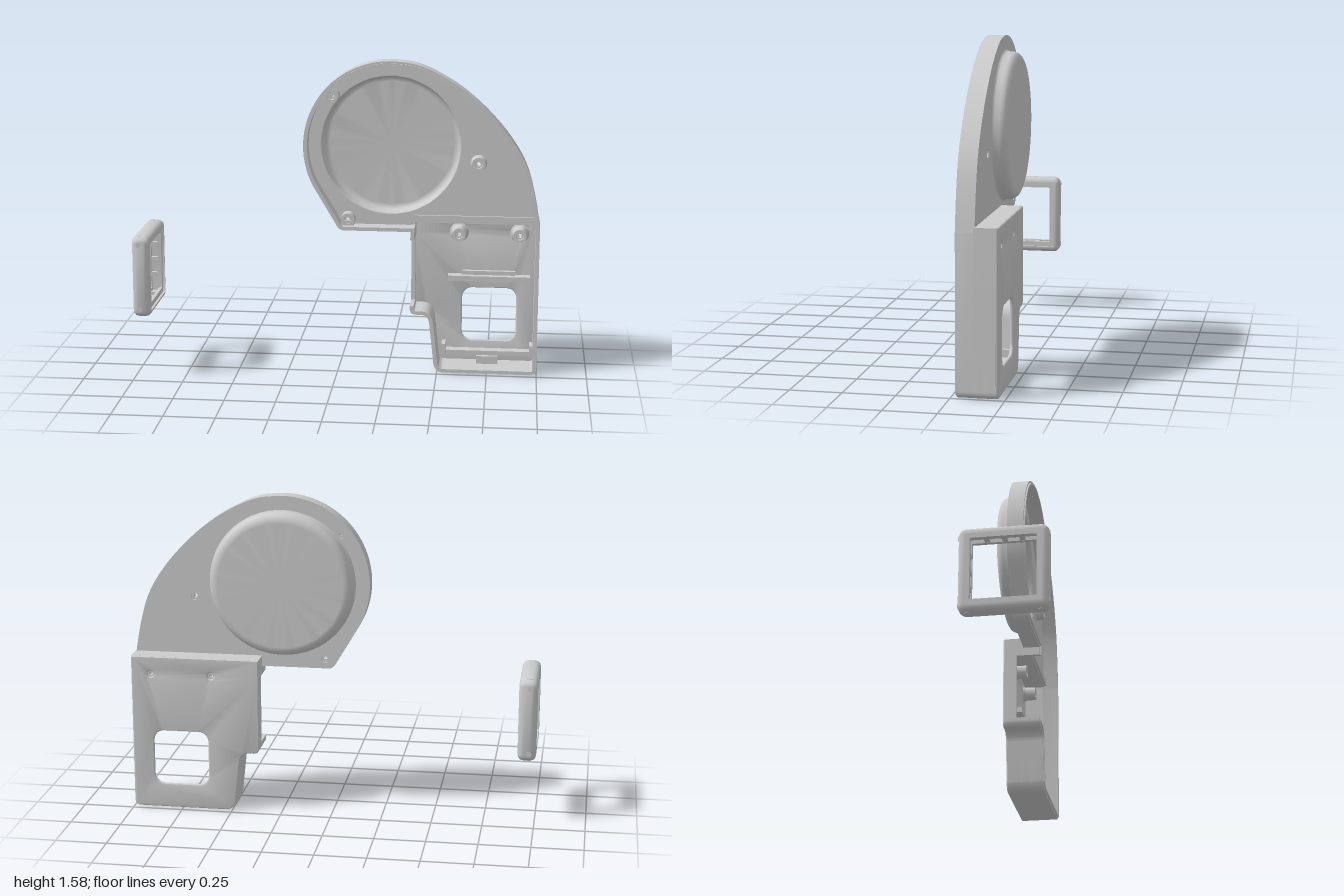
import * as THREE from 'three';
import { toCreasedNormals } from 'three/addons/utils/BufferGeometryUtils.js';

const grey = new THREE.MeshStandardMaterial({ color: 0xcccccc });
grey.name = 'light grey plastic';

function part(parent, name, geometry, crease = 0.4) {
  const mesh = new THREE.Mesh(toCreasedNormals(geometry, crease), grey);
  mesh.name = name;
  parent.add(mesh);
  return mesh;
}

// Box given by its limits on each axis
function block(parent, name, x0, x1, y0, y1, z0, z1) {
  const mesh = part(parent, name, new THREE.BoxGeometry(x1 - x0, y1 - y0, z1 - z0));
  mesh.position.set((x0 + x1) / 2, (y0 + y1) / 2, (z0 + z1) / 2);
  return mesh;
}

// Move a counter-clockwise outline inwards by d
function inset(pts, d, closed) {
  const n = pts.length;
  return pts.map((p, i) => {
    const a = closed ? pts[(i + n - 1) % n] : pts[Math.max(i - 1, 0)];
    const b = closed ? pts[(i + 1) % n] : pts[Math.min(i + 1, n - 1)];
    const u = p.clone().sub(a).normalize(), v = b.clone().sub(p).normalize();
    if (!u.length()) u.copy(v);
    if (!v.length()) v.copy(u);
    const m = new THREE.Vector2(-u.y - v.y, u.x + v.x).normalize();
    const cos = Math.max(0.5, m.x * -u.y + m.y * u.x);
    return p.clone().addScaledVector(m, d / cos);
  });
}

// Wall following an open outline, between two insets
const strip = (pts, a, b) => new THREE.Shape([...inset(pts, a), ...inset(pts, b).reverse()]);

function slab(shape, z0, z1, bevel = 0) {
  return new THREE.ExtrudeGeometry(shape, {
    depth: z1 - z0 - 2 * bevel, bevelEnabled: bevel > 0, bevelThickness: bevel,
    bevelSize: bevel, bevelOffset: -bevel, bevelSegments: 3, curveSegments: 36,
  }).translate(0, 0, z0 + bevel);
}

function roundedRect(cx, cy, hw, hh, r) {
  const pts = [];
  for (let c = 0; c < 4; c++) {
    const sx = c === 0 || c === 3 ? 1 : -1, sy = c < 2 ? 1 : -1;
    for (let k = 0; k <= 6; k++) {
      const a = (c + k / 6) * Math.PI / 2;
      pts.push(new THREE.Vector2(cx + sx * (hw - r) + r * Math.cos(a), cy + sy * (hh - r) + r * Math.sin(a)));
    }
  }
  return pts;
}

const circle = (x, y, r) => new THREE.Path().absarc(x, y, r, 0, Math.PI * 2, true);

// Solid turned around the z axis
function turned(profile, segments) {
  const pts = profile.map(([r, z]) => new THREE.Vector2(r, z));
  return new THREE.LatheGeometry(pts, segments).rotateX(Math.PI / 2);
}

// Shared lower outline, from the side cut-out down and round to the right edge
function lowerEdge() {
  return new THREE.Path().moveTo(0.36, 0.345).lineTo(0.36, 0.335)
    .quadraticCurveTo(0.36, 0.3, 0.39, 0.3).lineTo(0.415, 0.3)
    .quadraticCurveTo(0.455, 0.3, 0.46, 0.25).lineTo(0.482, 0.05)
    .quadraticCurveTo(0.49, 0, 0.535, 0).lineTo(0.965, 0)
    .quadraticCurveTo(1, 0, 1, 0.035);
}

// Upper outline: swept right edge, round top, slanted lower left
function upperEdge(path) {
  const v = (x, y) => new THREE.Vector2(x, y);
  return path.splineThru([v(0.97, 0.925), v(0.925, 1.075), v(0.845, 1.21), v(0.727, 1.345),
    v(0.594, 1.457), v(0.46, 1.535), v(0.36, 1.57), v(0.255, 1.58)])
    .absarc(0.255, 1.15, 0.43, Math.PI / 2, Math.PI * 1.155, false)
    .lineTo(-0.01, 0.755).quadraticCurveTo(0.003, 0.727, 0.03, 0.727).lineTo(0.36, 0.727);
}

function createHousing() {
  const g = new THREE.Group();
  g.name = 'housing';
  const upperScrews = [[-0.035, 1.4, 0.037], [0.045, 0.775, 0.037], [0.692, 1.07, 0.042]];
  const lowerScrews = [[0.598, 0.692, 0.05], [0.902, 0.692, 0.05]];

  // Rim around the whole outline, left open at the side cut-out
  const rim = upperEdge(lowerEdge().lineTo(1, 0.75)).lineTo(0.36, 0.685).getPoints(14);
  part(g, 'rim', slab(strip(rim, 0, 0.02), -0.107, -0.03));
  part(g, 'rimLip', slab(strip(rim, 0.01, 0.02), -0.03, -0.023));

  // Floor of the upper half
  const floor = new THREE.Shape(upperEdge(new THREE.Path().moveTo(1, 0.76)).lineTo(0.36, 0.76).getPoints(14));
  floor.holes.push(circle(0.255, 1.15, 0.35));
  upperScrews.forEach(([x, y]) => floor.holes.push(circle(x, y, 0.02)));
  part(g, 'upperFloor', slab(floor, -0.114, -0.099));

  // Round drum bulging out of the back
  part(g, 'drum', turned([[0, -0.184], [0.308, -0.184], [0.312, -0.184], [0.326, -0.181], [0.339, -0.174],
    [0.348, -0.163], [0.352, -0.148], [0.353, -0.125], [0.358, -0.116], [0.365, -0.112], [0.352, -0.109],
    [0.351, -0.099], [0.347, -0.1], [0.344, -0.104], [0.342, -0.11], [0.341, -0.145], [0.337, -0.157],
    [0.328, -0.166], [0.315, -0.17], [0.311, -0.17], [0, -0.17]], 72), 0.6).position.set(0.255, 1.15, 0);

  // Deep box of the lower half
  const box = lowerEdge().lineTo(1, 0.78).lineTo(0.36, 0.78).lineTo(0.36, 0.685).getPoints(14);
  const ring = new THREE.Shape(box);
  ring.holes.push(new THREE.Path(inset(box, 0.02, true)));
  part(g, 'boxWall', slab(ring, -0.21, -0.15));
  part(g, 'boxWallFront', slab(strip(box, 0, 0.02), -0.15, -0.107));
  const back = new THREE.Shape(box);
  back.holes.push(new THREE.Path(roundedRect(0.7545, 0.263, 0.137, 0.138, 0.05).reverse()));
  lowerScrews.forEach(([x, y]) => back.holes.push(circle(x, y, 0.016)));
  part(g, 'boxBack', slab(back, -0.22, -0.202, 0.009));

  // Hollow screw posts, flared at the foot
  const post = ([x, y, flare], z, h) => part(g, 'screwPost', turned([[0.01, z - 0.004], [flare, z - 0.004],
    [flare, z], [0.6 * 0.034 + 0.4 * flare, z + 0.006], [0.035, z + 0.02], [0.034, z + h], [0.02, z + h],
    [0.018, z + h - 0.01], [0.01, z + h - 0.01], [0.01, z - 0.004]], 28)).position.set(x, y, 0);
  upperScrews.forEach((s) => post(s, -0.1, 0.045));
  lowerScrews.forEach((s) => post(s, -0.203, 0.07));

  // Webs joining two posts to the rim
  const web = block(g, 'postWeb', -0.02, 0.02, -0.034, 0.034, -0.1, -0.058);
  web.position.x = -0.046;
  web.position.y = 1.41;
  web.rotation.z = 2.43;
  block(g, 'postWeb', 0.012, 0.075, 0.735, 0.772, -0.1, -0.058);

  // Ridge and retaining ribs inside the box
  block(g, 'ridge', 0.38, 0.985, 0.765, 0.8, -0.1, -0.088);
  block(g, 'shelf', 0.545, 0.958, 0.448, 0.475, -0.206, -0.15);
  block(g, 'shelfStep', 0.615, 0.884, 0.475, 0.495, -0.206, -0.18);
  block(g, 'lowerShelf', 0.518, 0.98, 0.06, 0.083, -0.206, -0.15);
  block(g, 'shelfPost', 0.518, 0.538, 0.06, 0.12, -0.206, -0.13);
  block(g, 'shelfPost', 0.962, 0.98, 0.06, 0.12, -0.206, -0.13);
  block(g, 'shelfBlock', 0.695, 0.805, 0.015, 0.06, -0.206, -0.13);
  return g;
}

function createFrame() {
  const g = new THREE.Group();
  g.name = 'squareFrame';
  const half = 0.205;

  // Channel section (inset, x) carried round a rounded square
  const section = [[0.034, -1], [0.03, -1], [0.014, -0.996], [0.004, -0.986], [0, -0.97], [0, -0.94],
    [0.004, -0.924], [0.014, -0.914], [0.026, -0.91], [0.03, -0.91], [0.03, -0.922], [0.055, -0.922],
    [0.055, -0.94], [0.035, -0.94], [0.035, -0.975], [0.055, -0.975], [0.055, -1]];
  const position = [], index = [];
  const loops = section.map(([d]) => roundedRect(0, 0, half - d, half - d, Math.max(0.035 - d, 0.004)));
  const n = loops[0].length, m = section.length;
  loops.forEach((loop, j) => loop.forEach((p) => position.push(section[j][1], p.y, -p.x)));
  for (let j = 0; j < m; j++) {
    for (let i = 0; i < n; i++) {
      const a = j * n + i, b = j * n + (i + 1) % n;
      const c = ((j + 1) % m) * n + i, d = ((j + 1) % m) * n + (i + 1) % n;
      index.push(a, b, c, b, d, c);
    }
  }
  const geometry = new THREE.BufferGeometry();
  geometry.setAttribute('position', new THREE.Float32BufferAttribute(position, 3));
  geometry.setIndex(index);
  part(g, 'frameRing', geometry, 0.6);

  // Ribs in the channel and screw marks on each side
  for (let s = 0; s < 4; s++) {
    const side = new THREE.Group();
    side.name = 'frameSide';
    side.rotation.x = s * Math.PI / 2;
    for (const z of [-0.08, 0, 0.08]) block(side, 'rib', -0.976, -0.939, 0.151, 0.172, z - 0.012, z + 0.012);
    for (const z of [-0.165, 0.165]) {
      part(side, 'screwMark', new THREE.CylinderGeometry(0.013, 0.013, 0.006, 16)).position.set(-0.964, half - 0.002, z);
    }
    g.add(side);
  }
  g.position.set(0, 0.5225, 0.0125);
  return g;
}

export function createModel() {
  const model = new THREE.Group();
  model.name = 'housingAndFrame';
  model.add(createHousing(), createFrame());
  return model;
}
